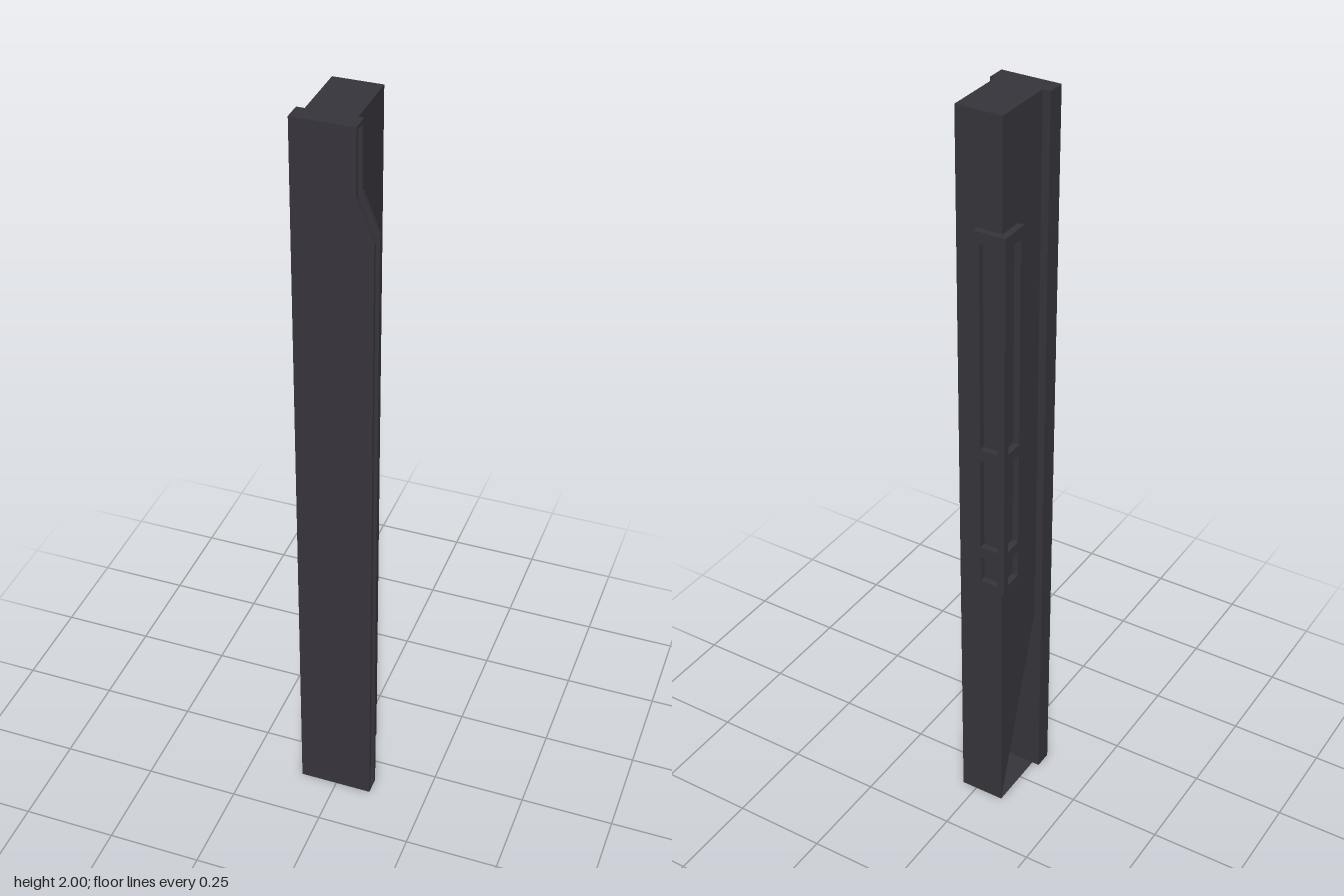
import * as THREE from 'three';

const dark = new THREE.MeshStandardMaterial({ color: 0x37353c, side: THREE.DoubleSide });
dark.name = 'dark charcoal';
const red = new THREE.MeshStandardMaterial({ color: 0xe02424 });
red.name = 'red light';

function addMesh(parent, name, geometry, material = dark) {
  const mesh = new THREE.Mesh(geometry, material);
  mesh.name = name;
  parent.add(mesh);
  return mesh;
}

const extrude = (shape, depth) => new THREE.ExtrudeGeometry(shape, { depth, bevelEnabled: false });
const polygon = (points) => new THREE.Shape(points.map(([x, y]) => new THREE.Vector2(x, y)));
const rectangle = (x0, x1, y0, y1) => [[x0, y0], [x1, y0], [x1, y1], [x0, y1]];

// Hollow column whose -x wall has a triangular opening at the foot
function columnGeometry() {
  const [x0, x1, z0, z1, top, cut] = [-0.08, 0.042, -0.1, 0.067, 2, 0.54];
  const walls = [
    [[x0, 0, z0], [x0, cut, z1], [x0, top, z1], [x0, top, z0]],
    [[x1, 0, z1], [x1, 0, z0], [x1, top, z0], [x1, top, z1]],
    [[x1, 0, z0], [x0, 0, z0], [x0, top, z0], [x1, top, z0]],
    [[x0, top, z1], [x1, top, z1], [x1, top, z0], [x0, top, z0]],
    [[x0, 0, z0], [x1, 0, z0], [x1, 0, z1], [x0, 0, z1]],
  ];
  const positions = walls.flatMap(([a, b, c, d]) => [a, b, c, a, c, d].flat());
  const geometry = new THREE.BufferGeometry();
  geometry.setAttribute('position', new THREE.Float32BufferAttribute(positions, 3));
  geometry.computeVertexNormals();
  return geometry;
}

// Frame plate with three stacked windows
function windowFrame(u0, u1, w0, w1) {
  const shape = polygon(rectangle(u0, u1, 0.72, 1.72));
  for (const [low, high] of [[0.745, 0.82], [0.85, 1.11], [1.14, 1.69]]) {
    shape.holes.push(polygon(rectangle(w0, w1, low, high)));
  }
  return extrude(shape, 0.017);
}

export function createModel() {
  const model = new THREE.Group();
  model.name = 'wallPillar';
  addMesh(model, 'column', columnGeometry());

  // Front panel in three layers; the middle one is set back to leave a closed groove
  const panel = new THREE.Group();
  panel.name = 'frontPanel';
  model.add(panel);
  const full = polygon([[-0.1, 0], [0.097, 0], [0.097, 1.725], [0.055, 1.83], [0.055, 2], [-0.1, 2]]);
  const inset = polygon([
    [-0.1, 0], [0.097, 0], [0.097, 0.01], [0.085, 0.01], [0.085, 1.722],
    [0.043, 1.827], [0.043, 1.99], [0.055, 1.99], [0.055, 2], [-0.1, 2],
  ]);
  addMesh(panel, 'panelBack', extrude(full, 0.01)).position.z = 0.067;
  addMesh(panel, 'panelCore', extrude(inset, 0.028)).position.z = 0.077;
  addMesh(panel, 'panelFace', extrude(full, 0.01)).position.z = 0.105;

  // Thin light strips on the groove wall that faces backwards
  for (const [x, low, high] of [[0.091, 0.01, 1.722], [0.049, 1.83, 1.99]]) {
    const strip = addMesh(panel, 'lightStrip', new THREE.BoxGeometry(0.004, high - low, 0.001), red);
    strip.position.set(x, (low + high) / 2, 0.1045);
  }

  // Windowed corner bracket wrapping the back corner
  const bracket = new THREE.Group();
  bracket.name = 'cornerBracket';
  model.add(bracket);
  addMesh(bracket, 'backFrame', windowFrame(-0.097, -0.015, -0.078, -0.029)).position.z = -0.117;
  const sideFrame = addMesh(bracket, 'sideFrame', windowFrame(-0.1, -0.035, -0.098, -0.049));
  sideFrame.rotation.y = -Math.PI / 2;
  sideFrame.position.x = -0.08;

  return model;
}
